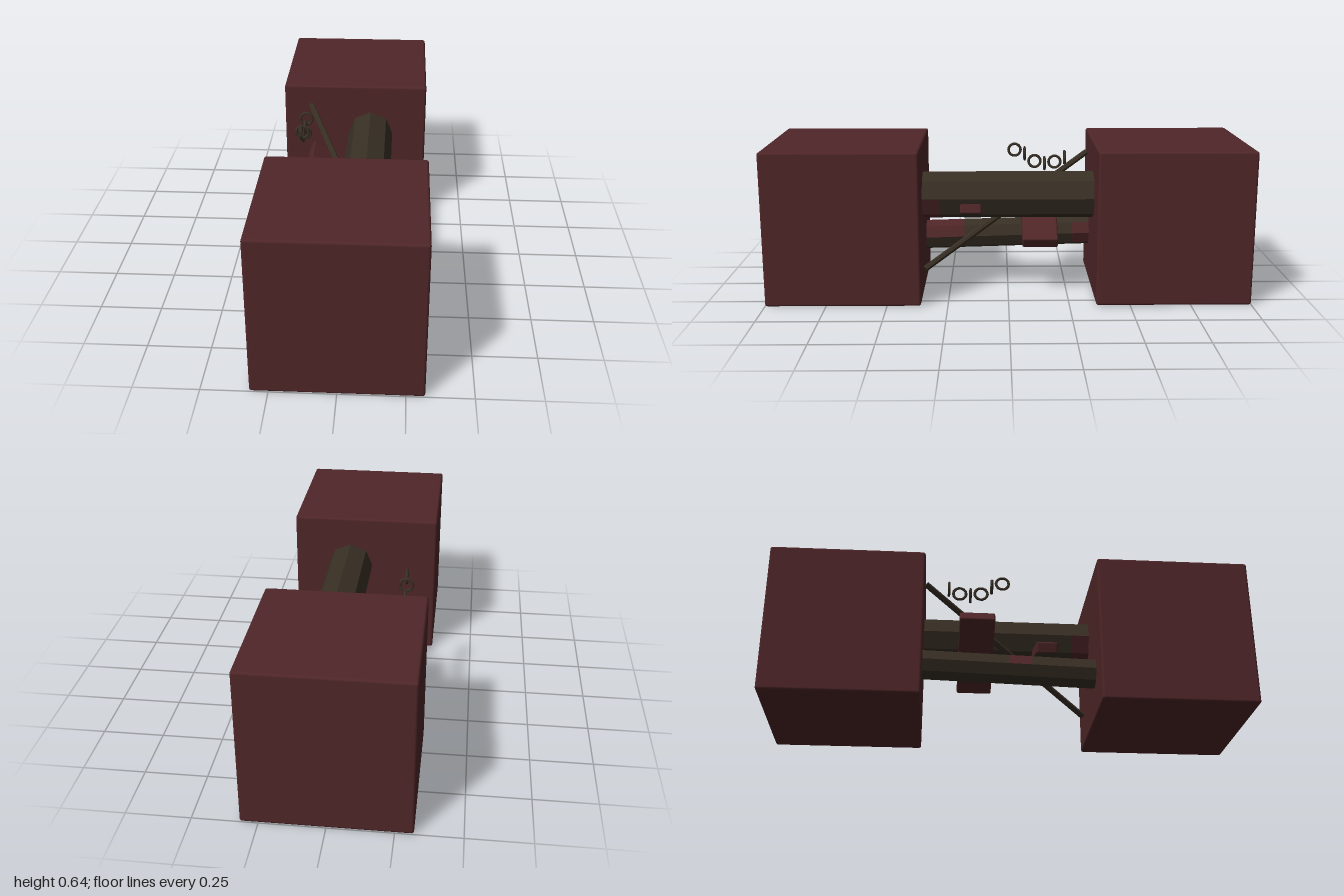
import * as THREE from 'three';
import { RoundedBoxGeometry } from 'three/addons/geometries/RoundedBoxGeometry.js';

export function createModel() {
  const model = new THREE.Group();
  const mat = (name, color, flatShading = false) => {
    const m = new THREE.MeshStandardMaterial({ color, flatShading });
    m.name = name;
    return m;
  };
  const rust = mat('rustRed', 0x4f2628);
  const iron = mat('darkIron', 0x382f24, true);
  const rustFlat = rust.clone();
  rustFlat.flatShading = true;

  const add = (name, geometry, material, x, y, z) => {
    const mesh = new THREE.Mesh(geometry, material);
    mesh.name = name;
    mesh.position.set(x, y, z);
    model.add(mesh);
    return mesh;
  };

  // Two heavy end blocks with softened edges
  for (const [name, z] of [['frontBlock', 0.68], ['backBlock', -0.68]]) {
    add(name, new RoundedBoxGeometry(0.64, 0.64, 0.64, 2, 0.01), rust, 0, 0.32, z);
  }

  // Eight-sided pipe along z; rusty cells are [side, row], rows run front to back
  const ROWS = 8;
  const pipe = (name, radius, cells, x, y) => {
    const g = new THREE.CylinderGeometry(radius, radius, 0.76, 8, ROWS, true);
    g.rotateX(Math.PI / 2);
    g.clearGroups();
    for (let side = 0; side < 8; side++) {
      for (let row = 0; row < ROWS; row++) {
        const rusty = cells.some(([s, r]) => s === side && r === row);
        g.addGroup((side * ROWS + row) * 6, 6, rusty ? 1 : 0);
      }
    }
    return add(name, g, [iron, rustFlat], x, y, 0);
  };
  pipe('mainPipe', 0.1, [[0, 0], [1, 0], [7, 0], [6, 0]], 0.07, 0.415);
  const lower = pipe('lowerPipe', 0.065,
    [[2, 0], [3, 0], [2, 1], [3, 1], [4, 3], [5, 3], [2, 5], [3, 5], [4, 6], [1, 7], [2, 7]],
    -0.125, 0.2);
  lower.rotation.x = 0.028;

  // Slanted plates driven through the pipes
  const plate = (name, length, depth, materials, y, z, angle) => {
    const g = new RoundedBoxGeometry(length, 0.05, depth, 2, 0.008);
    add(name, g, materials, -0.012, y, z).rotation.z = angle;
  };
  plate('frontPlate', 0.37, 0.09, [rust, rust, rust, iron, rust, rust], 0.327, 0.157, 0.28);
  plate('backPlate', 0.4, 0.15, rust, 0.32, -0.135, -0.51);

  // Thin rod crossing diagonally between the pipes
  const a = new THREE.Vector3(-0.2, 0.55, -0.355);
  const b = new THREE.Vector3(0.165, 0.115, 0.35);
  const dir = b.clone().sub(a);
  const mid = a.clone().add(b).multiplyScalar(0.5);
  const rod = add('diagonalRod', new THREE.CylinderGeometry(0.013, 0.013, dir.length(), 6), iron, mid.x, mid.y, mid.z);
  rod.quaternion.setFromUnitVectors(new THREE.Vector3(0, 1, 0), dir.normalize());

  // Sagging chain of links turned alternately
  const link = new THREE.TorusGeometry(0.027, 0.006, 6, 14);
  [0.557, 0.54, 0.505, 0.495, 0.502, 0.522].forEach((y, i) => {
    const ring = add('chainLink' + (i + 1), link, iron, -0.215, y, -0.033 - i * 0.045);
    if (i % 2 === 0) ring.rotation.y = Math.PI / 2;
  });

  return model;
}
